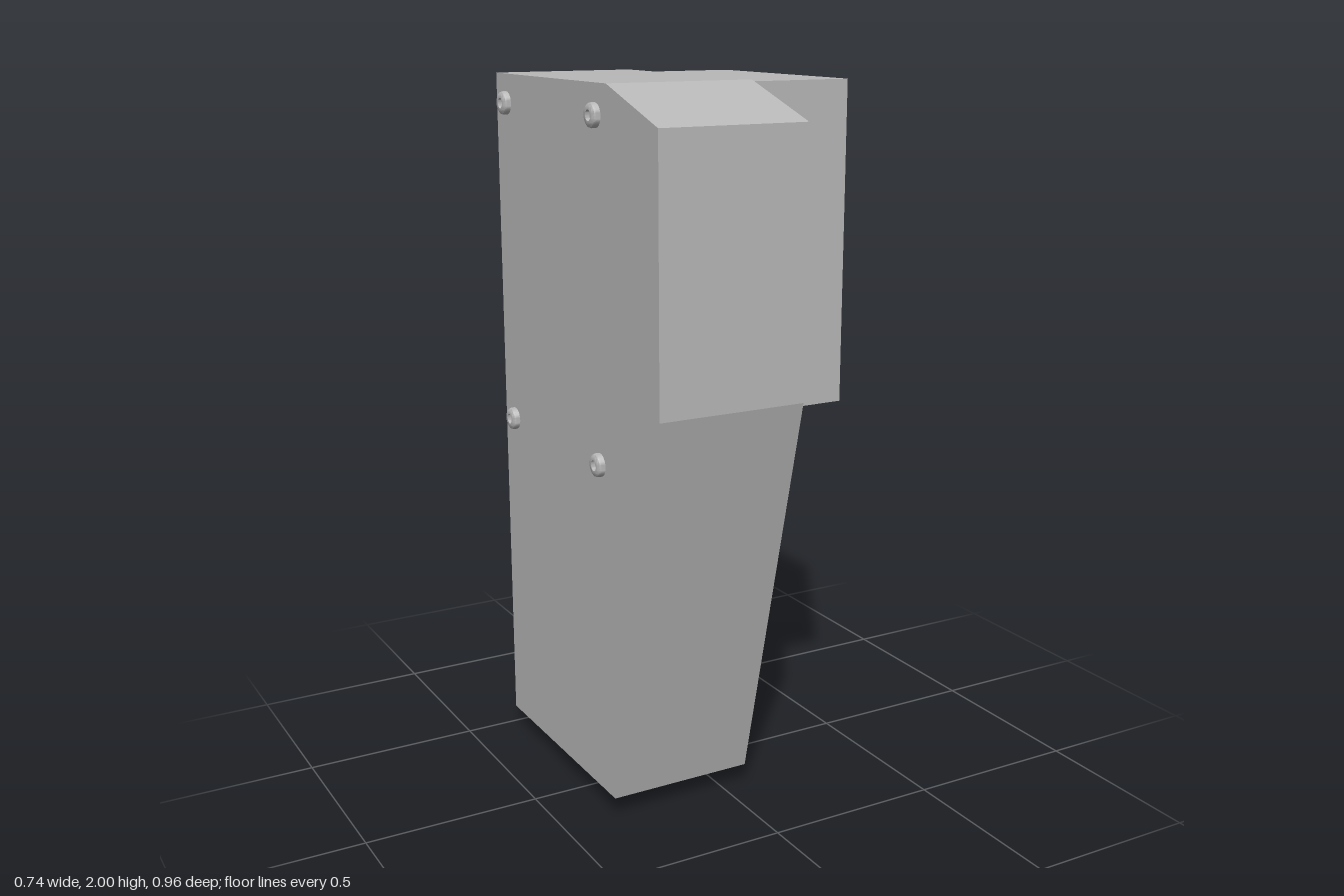
import * as THREE from 'three';
import { toCreasedNormals } from 'three/addons/utils/BufferGeometryUtils.js';

export function createModel() {
  const group = new THREE.Group();
  const gray = new THREE.MeshStandardMaterial({ color: 0xb8b8b8 });
  gray.name = 'plain gray';

  const add = (name, geometry) => {
    const mesh = new THREE.Mesh(geometry, gray);
    mesh.name = name;
    group.add(mesh);
    return mesh;
  };
  const polygon = (pts) => new THREE.Shape(pts.map(([a, b]) => new THREE.Vector2(a, b)));

  // Tapered housing: side profile as [z, y], extruded across x
  const profile = [[-0.48, 0.06], [-0.48, 2], [0.21, 2], [0.48, 1.91], [0.48, 1.2], [0.21, 0.06]];
  const housing = new THREE.ExtrudeGeometry(polygon(profile.map(([z, y]) => [-z, y])),
    { depth: 0.42, bevelEnabled: false });
  housing.rotateY(Math.PI / 2).translate(-0.35, 0, 0);
  add('housing', housing);

  // Box on the left side
  const box = new THREE.BoxGeometry(0.3, 0.885, 0.635);
  add('sideBox', box).position.set(0.22, 1.5525, -0.1075);

  // Connector plate under the housing, corners cut on the inner end
  const plate = new THREE.ExtrudeGeometry(polygon([
    [0.07, -0.235], [0.07, -0.025], [-0.14, -0.025], [-0.175, -0.04], [-0.19, -0.075],
    [-0.19, -0.185], [-0.175, -0.22], [-0.14, -0.235],
  ]), { depth: 0.025, bevelEnabled: false });
  plate.rotateX(Math.PI / 2).translate(0, 0.06, 0);
  add('connectorPlate', plate);

  // Round screw head with a socket, standing up along y
  const screwHead = (r, h) => toCreasedNormals(new THREE.LatheGeometry([
    [r, 0], [r, h * 0.5], [r * 0.94, h * 0.8], [r * 0.75, h],
    [r * 0.45, h], [r * 0.45, h * 0.4], [0, h * 0.4],
  ].map(([x, y]) => new THREE.Vector2(x, y)), 24), 0.7);

  // Three contacts below the plate
  const contact = screwHead(0.04, 0.035);
  for (const [x, z] of [[0, -0.07], [0, -0.195], [-0.125, -0.13]]) {
    const mesh = add('contact', contact);
    mesh.position.set(x, 0.035, z);
    mesh.rotation.x = Math.PI;
  }

  // Four screws on the right side
  const screw = screwHead(0.032, 0.02);
  for (const y of [1.92, 1.01]) {
    for (const z of [-0.413, 0.147]) {
      const mesh = add('sideScrew', screw);
      mesh.position.set(-0.35, y, z);
      mesh.rotation.z = Math.PI / 2;
    }
  }
  return group;
}
